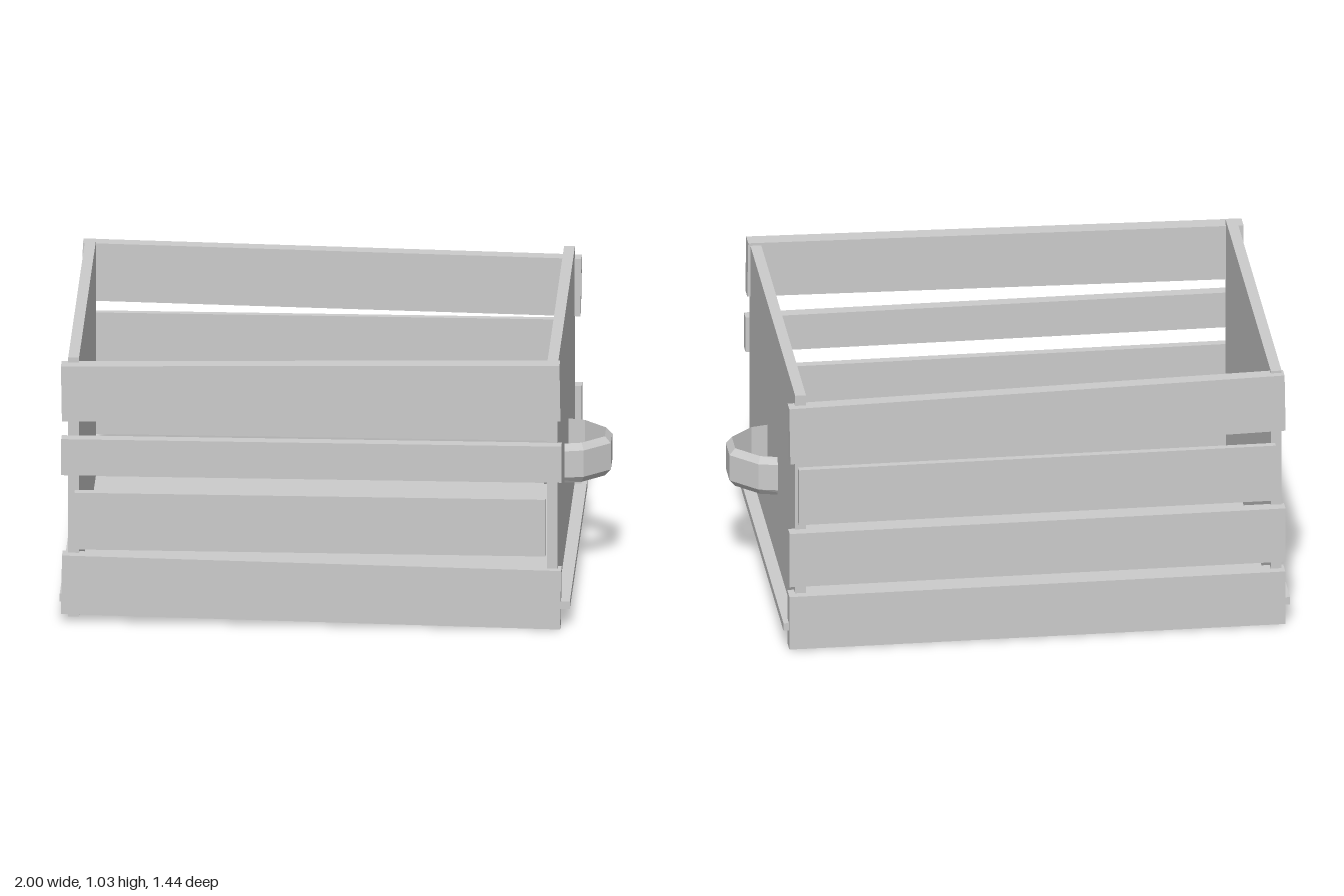
import * as THREE from 'three';

export function createModel() {
  const crate = new THREE.Group();
  crate.name = 'crate';
  const wood = new THREE.MeshStandardMaterial({ color: 0xcccccc, flatShading: true });

  // Board given by its extents, optionally tilted about its centre
  function board(name, [x0, x1], [y0, y1], [z0, z1], tilt = 0) {
    const mesh = new THREE.Mesh(new THREE.BoxGeometry(x1 - x0, y1 - y0, z1 - z0), wood);
    mesh.position.set((x0 + x1) / 2, (y0 + y1) / 2, (z0 + z1) / 2);
    mesh.rotation.z = tilt;
    mesh.name = name;
    crate.add(mesh);
  }

  // Floor and the two solid ends
  board('floor', [-1, 0.875], [0.08, 0.11], [-0.695, 0.69]);
  board('rightEnd', [-0.97, -0.93], [0.015, 1.02], [-0.68, 0.67]);
  board('leftEnd', [0.79, 0.83], [0.015, 1.02], [-0.68, 0.68]);

  // Roughly nailed slats, bottom to top: x, y, z extents and tilt
  const frontSlats = [
    [[-0.993, 0.842], [0.021, 0.248], [0.65, 0.706], -0.017],
    [[-0.945, 0.787], [0.29, 0.51], [0.68, 0.712]],
    [[-0.993, 0.845], [0.58, 0.72], [0.675, 0.72]],
    [[-0.993, 0.84], [0.8, 1.015], [0.65, 0.711], 0.017],
  ];
  const backSlats = [
    [[-0.98, 0.855], [0.01, 0.222], [-0.711, -0.647]],
    [[-0.98, 0.855], [0.265, 0.48], [-0.718, -0.672]],
    [[-0.945, 0.82], [0.51, 0.732], [-0.71, -0.685]],
    [[-0.98, 0.853], [0.772, 0.995], [-0.706, -0.655], -0.018],
  ];
  frontSlats.forEach((s, i) => board('frontSlat' + (i + 1), ...s));
  backSlats.forEach((s, i) => board('backSlat' + (i + 1), ...s));

  // Faceted strap handle: outer edge narrower than the inner one
  const outer = [[0.755, -0.185], [0.9, -0.153], [0.996, -0.06], [0.996, 0.05], [0.9, 0.138], [0.755, 0.167]];
  const inner = [[0.755, -0.17], [0.892, -0.136], [0.974, -0.055], [0.974, 0.045], [0.892, 0.122], [0.755, 0.152]];
  const positions = [];
  outer.forEach(([ox, oz], i) => {
    const [ix, iz] = inner[i];
    positions.push(ox, 0.405, oz, ox, 0.507, oz, ix, 0.532, iz, ix, 0.38, iz);
  });
  const index = [0, 1, 2, 0, 2, 3];
  for (let i = 0; i < outer.length - 1; i++) {
    for (let j = 0; j < 4; j++) {
      const a = i * 4 + j, b = i * 4 + (j + 1) % 4;
      index.push(a, b + 4, b, a, a + 4, b + 4);
    }
  }
  const e = (outer.length - 1) * 4;
  index.push(e, e + 2, e + 1, e, e + 3, e + 2);
  const strap = new THREE.BufferGeometry();
  strap.setAttribute('position', new THREE.Float32BufferAttribute(positions, 3));
  strap.setIndex(index);
  const flat = strap.toNonIndexed();
  flat.computeVertexNormals();
  const strapMaterial = wood.clone();
  strapMaterial.side = THREE.DoubleSide;
  const handle = new THREE.Mesh(flat, strapMaterial);
  handle.name = 'handle';
  crate.add(handle);

  return crate;
}
